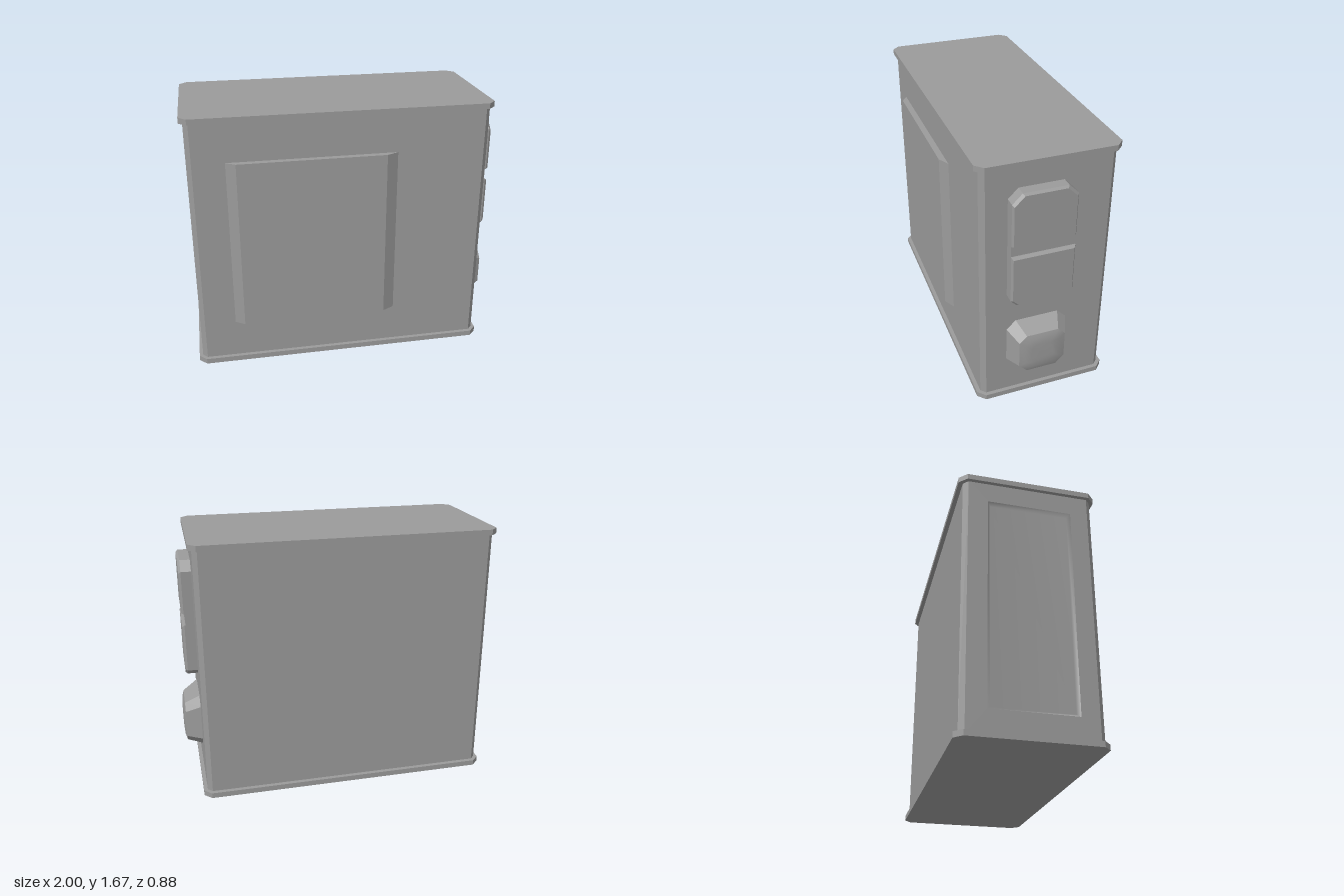
import * as THREE from 'three';
import { mergeVertices } from 'three/addons/utils/BufferGeometryUtils.js';

const material = new THREE.MeshStandardMaterial({ color: 0x9b9b9b });

// Axis maps: a ring lies in (u, v) and is lofted along w
const alongX = (u, v, w) => [w, u, v];
const alongY = (u, v, w) => [v, w, u];
const alongZ = (u, v, w) => [u, v, w];
const alongMinusX = (u, v, w) => [-w, v, u];

// Counter-clockwise rectangle with chamfers c = [u0v0, u1v0, u1v1, u0v1]
function outline(u0, u1, v0, v1, c = 0) {
  const [a, b, d, e] = Array.isArray(c) ? c : [c, c, c, c];
  const points = [
    [u0 + a, v0], [u1 - b, v0], [u1, v0 + b], [u1, v1 - d],
    [u1 - d, v1], [u0 + e, v1], [u0, v1 - e], [u0, v0 + a],
  ];
  return points.filter((p, i) => {
    const q = points[(i + 7) % 8];
    return Math.hypot(p[0] - q[0], p[1] - q[1]) > 1e-6;
  });
}

// Joins rings [w, points] with faces, flat unless smooth, and caps the ends
function loft(name, map, rings, { startCap = false, endCap = true, skip = -1, smooth = false } = {}) {
  const positions = [];
  const tri = (...corners) => corners.forEach((p) => positions.push(...p));
  const loops = rings.map(([w, pts]) => pts.map(([u, v]) => map(u, v, w)));
  const n = loops[0].length;
  for (let r = 0; r < loops.length - 1; r++) {
    const a = loops[r], b = loops[r + 1];
    for (let j = 0; j < n; j++) {
      if (j === skip) continue;
      const k = (j + 1) % n;
      tri(a[j], a[k], b[k]);
      tri(a[j], b[k], b[j]);
    }
  }
  const first = loops[0], last = loops[loops.length - 1];
  for (let j = 1; j < n - 1; j++) {
    if (startCap) tri(first[0], first[j + 1], first[j]);
    if (endCap) tri(last[0], last[j], last[j + 1]);
  }
  let geometry = new THREE.BufferGeometry();
  geometry.setAttribute('position', new THREE.Float32BufferAttribute(positions, 3));
  if (smooth) geometry = mergeVertices(geometry);
  geometry.computeVertexNormals();
  const mesh = new THREE.Mesh(geometry, material);
  mesh.name = name;
  return mesh;
}

export function createModel() {
  const model = new THREE.Group();
  model.name = 'cabinet';

  // Main case, open where the recessed end goes
  const caseRing = outline(-0.41, 0.4, -0.977, 0.888, 0.03);
  model.add(loft('case', alongY, [[0.02, caseRing], [1.65, caseRing]],
    { startCap: true, skip: 0 }));

  // End wall with a shallow, softly sloped recess
  const recessRim = outline(-0.26, 0.26, 0.17, 1.51);
  model.add(loft('endWall', alongMinusX, [
    [0.977, outline(-0.38, 0.37, 0.02, 1.65)],
    [0.977, recessRim],
  ], { endCap: false }));
  model.add(loft('endRecess', alongMinusX, [
    [0.977, recessRim],
    [0.955, outline(-0.24, 0.24, 0.19, 1.49)],
  ], { smooth: true }));

  // Overhanging plates at top and bottom
  const plateRing = outline(-0.437, 0.425, -1, 0.912, 0.047);
  for (const [name, y] of [['bottomPlate', 0], ['topPlate', 1.638]]) {
    model.add(loft(name, alongY, [[y, plateRing], [y + 0.035, plateRing]], { startCap: true }));
  }

  // Raised front panel with sloping sides
  model.add(loft('frontPanel', alongZ, [
    [0.4, outline(-0.75, 0.305, 0.285, 1.388)],
    [0.439, outline(-0.69, 0.23, 0.285, 1.388)],
  ]));

  // Two bevelled covers joined by a lower strip
  const cover = (name, y0, y1, c, lowBevel, highBevel) => {
    const base = outline(y0, y1, -0.15, 0.24, c);
    model.add(loft(name, alongX, [
      [0.88, base],
      [0.952, base],
      [0.966, outline(y0 + lowBevel, y1 - highBevel, -0.14, 0.23, c)],
    ]));
  };
  cover('upperCover', 1.172, 1.505, [0, 0.06, 0.06, 0], 0.005, 0.012);
  cover('lowerCover', 0.755, 1.1, [0.035, 0, 0, 0.035], 0.008, 0.014);
  const strip = outline(1.09, 1.18, -0.15, 0.24);
  model.add(loft('coverStrip', alongX, [[0.88, strip], [0.945, strip]]));

  // Tapered housing with a smooth, slightly domed face
  const faceRing = outline(0.242, 0.52, -0.105, 0.19, [0.052, 0.046, 0.046, 0.052]);
  model.add(loft('taperedHousing', alongX, [
    [0.885, outline(0.215, 0.58, -0.15, 0.24, [0.07, 0.058, 0.058, 0.07])],
    [0.985, faceRing],
  ], { endCap: false }));
  model.add(loft('domedFace', alongX, [
    [0.985, faceRing],
    [0.996, outline(0.275, 0.487, -0.07, 0.155, [0.04, 0.035, 0.035, 0.04])],
    [1.0, outline(0.315, 0.445, -0.03, 0.115, [0.03, 0.025, 0.025, 0.03])],
  ], { smooth: true }));

  return model;
}
